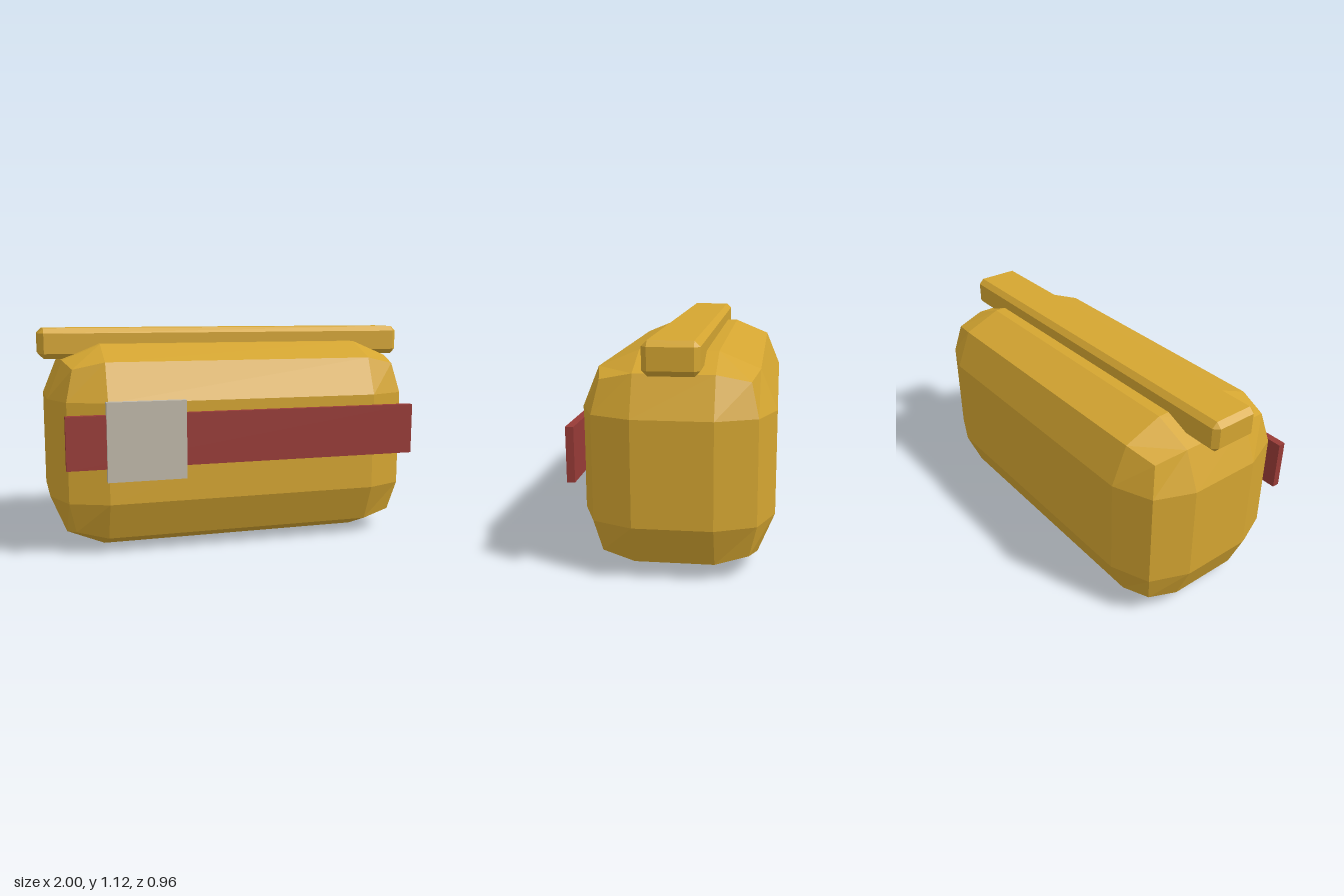
import * as THREE from 'three';
import { RoundedBoxGeometry } from 'three/addons/geometries/RoundedBoxGeometry.js';
import { ConvexGeometry } from 'three/addons/geometries/ConvexGeometry.js';

const material = (name, color) => {
  const m = new THREE.MeshStandardMaterial({ color, flatShading: true });
  m.name = name;
  return m;
};

// Box with every edge cut by a single 45 degree chamfer
function chamferedBox(w, h, d, c) {
  const [x, y, z] = [w / 2, h / 2, d / 2];
  const points = [];
  for (const i of [-1, 1]) for (const j of [-1, 1]) for (const k of [-1, 1]) {
    points.push(
      new THREE.Vector3(i * x, j * (y - c), k * (z - c)),
      new THREE.Vector3(i * (x - c), j * y, k * (z - c)),
      new THREE.Vector3(i * (x - c), j * (y - c), k * z)
    );
  }
  return new ConvexGeometry(points);
}

export function createModel() {
  const gold = material('mustard', 0xd4a531);
  const red = material('strap red', 0x983b37);
  const grey = material('buckle grey', 0xc0b9aa);
  const model = new THREE.Group();
  model.name = 'strappedBag';

  const add = (name, geometry, mat, x, y, z) => {
    const mesh = new THREE.Mesh(geometry, mat);
    mesh.name = name;
    mesh.position.set(x, y, z);
    model.add(mesh);
  };

  // Padded body with two facets around each edge
  add('body', new RoundedBoxGeometry(1.94, 1.04, 0.91, 1, 0.27), gold, 0, 0.52, -0.023);

  // Long bar along the top
  add('topBar', chamferedBox(2, 0.155, 0.255, 0.026), gold, 0, 1.042, -0.023);

  // Front strap and its plate
  add('strap', new THREE.BoxGeometry(1.815, 0.26, 0.038), red, 0, 0.586, 0.447);
  add('buckle', new THREE.BoxGeometry(0.39, 0.388, 0.038), grey, -0.52, 0.586, 0.461);

  return model;
}
